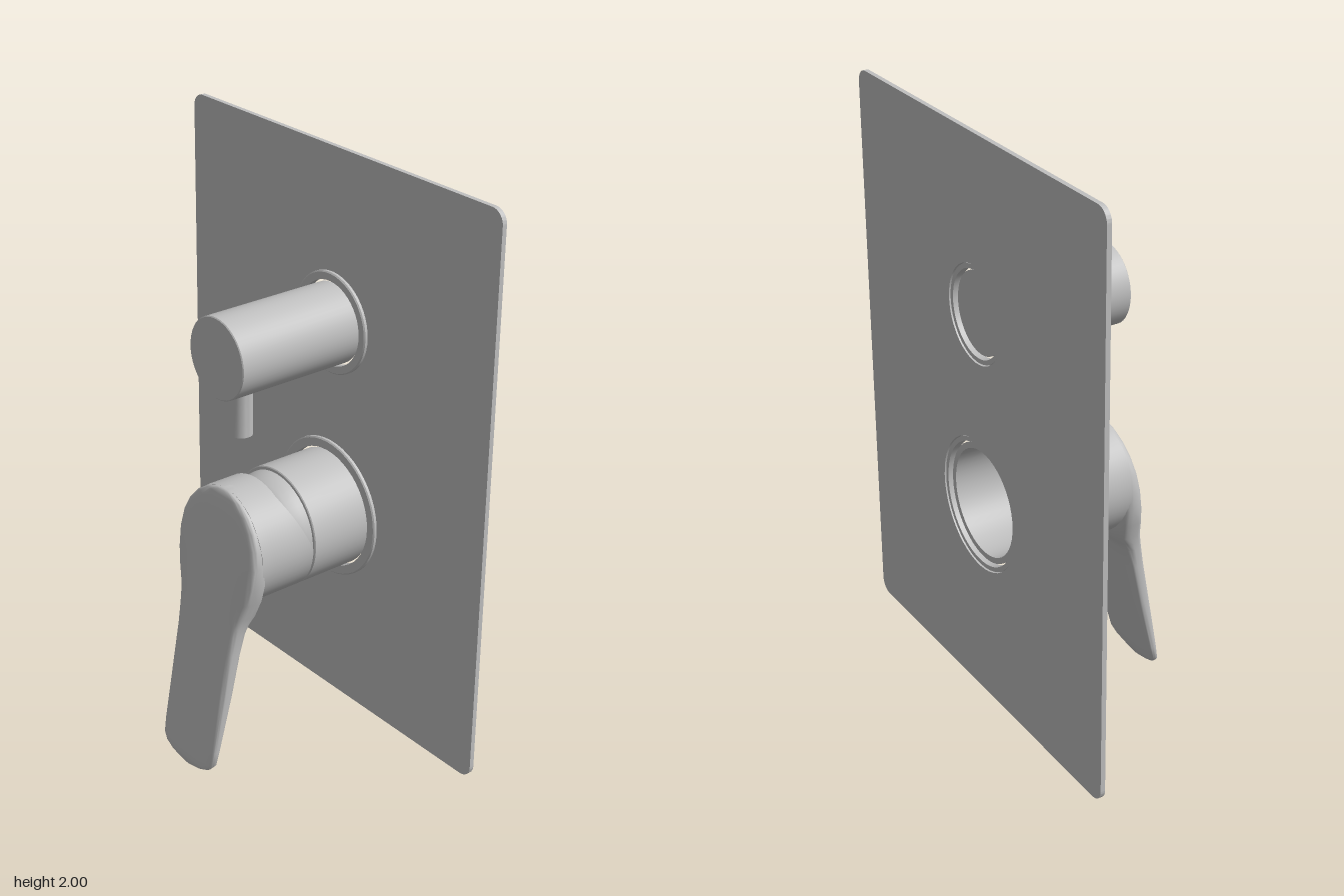
import * as THREE from 'three';
import { toCreasedNormals } from 'three/addons/utils/BufferGeometryUtils.js';

const KNOB_Y = 1.425, VALVE_Y = 0.77;
const { lerp } = THREE.MathUtils;

// Lever sections from top to tip: y, half width, front z, back z
const LEVER = [
  [0.97, 0.01, 0.135, 0.1], [0.965, 0.044, 0.142, 0.1], [0.95, 0.087, 0.148, 0.1],
  [0.92, 0.132, 0.156, 0.1], [0.88, 0.167, 0.164, 0.1], [0.83, 0.19, 0.174, 0.1],
  [0.77, 0.2, 0.184, 0.1], [0.7, 0.196, 0.195, 0.1], [0.64, 0.182, 0.205, 0.1],
  [0.58, 0.161, 0.215, 0.11], [0.55, 0.154, 0.22, 0.135], [0.52, 0.149, 0.225, 0.15],
  [0.45, 0.144, 0.237, 0.168], [0.3, 0.142, 0.263, 0.203], [0.1, 0.138, 0.297, 0.257],
  [0.05, 0.134, 0.305, 0.27], [0.03, 0.116, 0.309, 0.278], [0.015, 0.08, 0.31, 0.286],
  [0, 0.02, 0.306, 0.294],
];

export function createModel() {
  const group = new THREE.Group();
  const metal = new THREE.MeshStandardMaterial({ color: 0xc0c0c0, side: THREE.DoubleSide });
  metal.name = 'brushed metal';

  const add = (name, geometry, y = 0, crease = 0.6) => {
    const mesh = new THREE.Mesh(toCreasedNormals(geometry, crease), metal);
    mesh.name = name;
    mesh.position.y = y;
    group.add(mesh);
    return mesh;
  };
  // Turned part about the z axis, profile given as [radius, z]
  const turned = (profile) => new THREE.LatheGeometry(
    profile.map(([r, z]) => new THREE.Vector2(r, z)), 48).rotateX(Math.PI / 2);

  // Wall plate with rounded corners and two holes
  const w = 0.72, y0 = 0.075, y1 = 2, r = 0.045;
  const outline = new THREE.Shape();
  outline.absarc(w - r, y0 + r, r, -Math.PI / 2, 0);
  outline.absarc(w - r, y1 - r, r, 0, Math.PI / 2);
  outline.absarc(-w + r, y1 - r, r, Math.PI / 2, Math.PI);
  outline.absarc(-w + r, y0 + r, r, Math.PI, Math.PI * 1.5);
  outline.closePath();
  for (const [y, radius] of [[KNOB_Y, 0.16], [VALVE_Y, 0.225]]) {
    outline.holes.push(new THREE.Path().absarc(0, y, radius, 0, Math.PI * 2, true));
  }
  add('wallPlate', new THREE.ExtrudeGeometry(outline, { depth: 0.016, bevelEnabled: false, curveSegments: 24 })
    .translate(0, 0, -0.309));

  // Flanges lining the holes
  const flange = (inner, hole, outer) => turned([
    [inner, -0.305], [hole, -0.305], [hole, -0.293], [outer, -0.293],
    [outer, -0.284], [outer - 0.004, -0.28], [inner, -0.28], [inner, -0.305],
  ]);
  add('knobFlange', flange(0.142, 0.157, 0.17), KNOB_Y);
  add('valveFlange', flange(0.207, 0.222, 0.24), VALVE_Y);

  // Diverter knob and its pin
  add('diverterKnob', turned([
    [0, -0.292], [0.134, -0.292], [0.134, 0.162], [0.131, 0.165], [0, 0.165],
  ]), KNOB_Y);
  add('diverterPin', new THREE.CylinderGeometry(0.037, 0.037, 0.17, 24).translate(0, 0, 0.07), 1.23);

  // Hollow valve sleeve with the tapering neck below the handle
  add('valveSleeve', turned([
    [0.18, -0.292], [0.2, -0.292], [0.2, -0.073], [0.197, -0.07],
    [0.188, -0.07], [0.186, -0.05], [0.178, -0.02], [0.166, 0.005], [0.15, 0.02],
    [0.15, 0], [0.168, -0.04], [0.18, -0.08], [0.18, -0.292],
  ]), VALVE_Y);
  add('valveSpindle', new THREE.BoxGeometry(0.05, 0.05, 0.25).translate(0, 0, -0.01), VALVE_Y);

  // Hollow handle hub, its two ends sheared to the slanted rim and the lever
  const hub = turned([
    [0.186, 0], [0.2, 0], [0.2, 0.25], [0.2, 0.5], [0.2, 0.75], [0.2, 1], [0, 1],
    [0, 0.85], [0.186, 0.85], [0.186, 0],
  ]);
  const p = hub.attributes.position;
  for (let i = 0; i < p.count; i++) {
    const y = p.getY(i);
    const back = y < 0 ? -0.063 : lerp(-0.063, 0.012, Math.min(y / 0.17, 1));
    const front = Math.min(0.15, 0.152 - 0.11 * y);
    p.setZ(i, lerp(back, Math.min(front, 0.14), p.getZ(i)));
  }
  add('handleHub', hub, VALVE_Y);

  // Lever lofted through rounded sections, flatter at the front
  const n = 40, positions = [], index = [];
  const power = (v, e) => Math.sign(v) * Math.abs(v) ** e;
  for (const [y, half, front, back] of LEVER) {
    for (let j = 0; j < n; j++) {
      const a = (j / n) * Math.PI * 2, s = Math.sin(a);
      const e = s > 0 ? 0.4 : 0.65;
      positions.push(half * power(Math.cos(a), e), y,
        (front + back) / 2 + (front - back) / 2 * power(s, e));
    }
  }
  for (let i = 0; i < LEVER.length - 1; i++) {
    for (let j = 0; j < n; j++) {
      const k = (j + 1) % n, a = i * n, b = a + n;
      index.push(a + j, a + k, b + j, a + k, b + k, b + j);
    }
  }
  // End caps
  const last = (LEVER.length - 1) * n;
  for (let j = 1; j < n - 1; j++) {
    index.push(0, j + 1, j, last, last + j, last + j + 1);
  }
  const lever = new THREE.BufferGeometry();
  lever.setAttribute('position', new THREE.Float32BufferAttribute(positions, 3));
  lever.setIndex(index);
  add('handleLever', lever, 0, 0.8);

  // Set-screw plug under the hub
  add('screwPlug', new THREE.CylinderGeometry(0.036, 0.03, 0.03, 24).translate(0, 0, 0.065), 0.568);

  return group;
}
